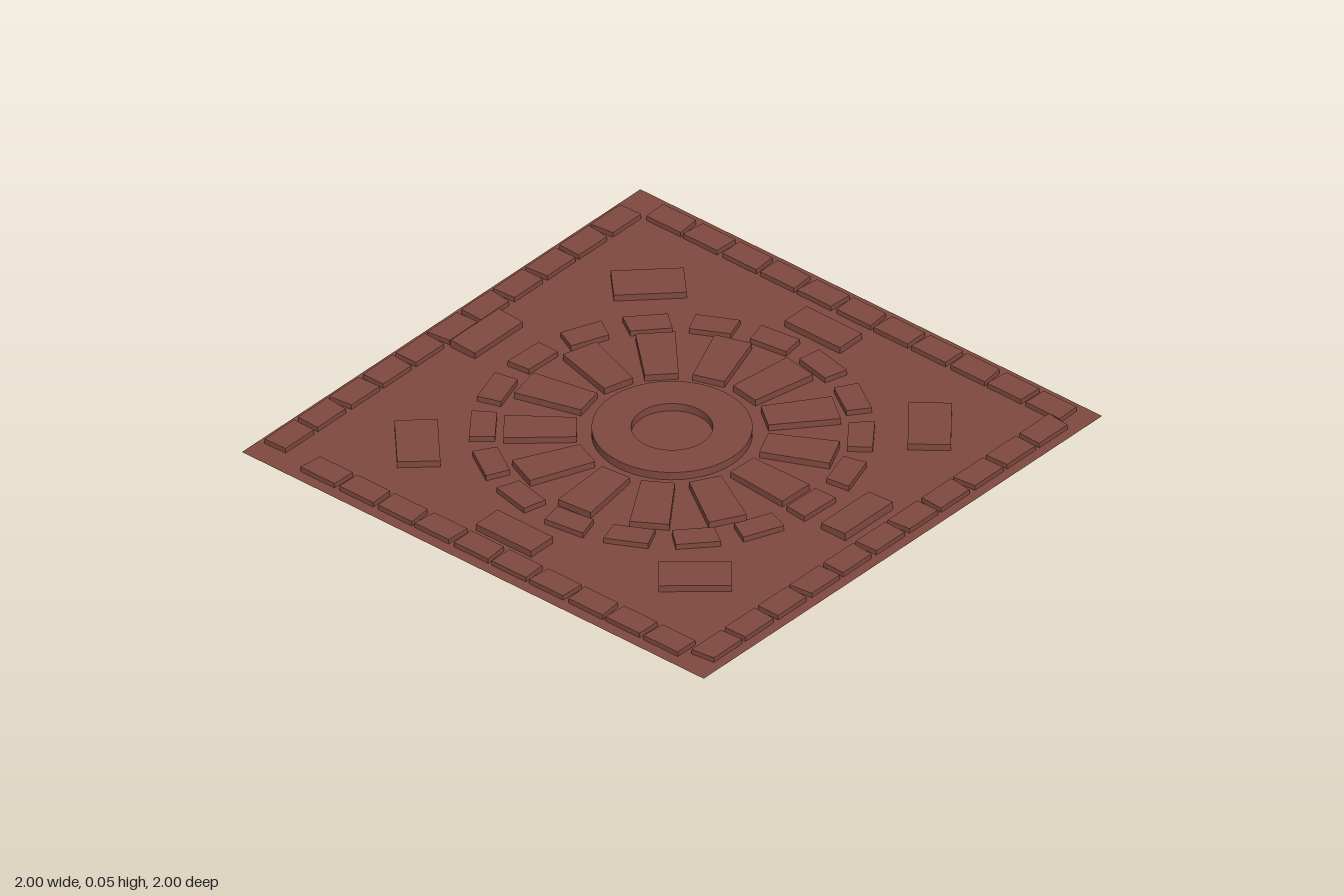
import * as THREE from 'three';

const brick = new THREE.MeshStandardMaterial({ color: 0x7f493f });
brick.name = 'brick red';
const brickSheet = brick.clone();
brickSheet.name = 'brick red sheet';
brickSheet.side = THREE.DoubleSide;

// A flat stone: length along x, width along z, narrowing from +x to -x, with a slight skew
function stone(name, length, innerWidth, outerWidth, bottom, top, skew = 0) {
  const geo = new THREE.BoxGeometry(length, top - bottom, 1);
  const pos = geo.attributes.position;
  for (let i = 0; i < pos.count; i++) {
    const x = pos.getX(i), side = pos.getZ(i);
    pos.setZ(i, side * (x > 0 ? outerWidth : innerWidth) + skew * Math.sign(x));
  }
  geo.computeVertexNormals();
  const mesh = new THREE.Mesh(geo, brick);
  mesh.name = name;
  mesh.position.y = (bottom + top) / 2;
  return mesh;
}

// Stones spaced evenly around the centre
function stoneCircle(name, count, radius, startDeg, make) {
  const group = new THREE.Group();
  group.name = name;
  for (let i = 0; i < count; i++) {
    const a = THREE.MathUtils.degToRad(startDeg) + (i / count) * Math.PI * 2;
    const mesh = make(i);
    mesh.position.x = Math.cos(a) * radius;
    mesh.position.z = Math.sin(a) * radius;
    mesh.rotation.y = -a;
    group.add(mesh);
  }
  return group;
}

// A straight border row; the stones run along z, or along x when turned
function borderRow(name, count, start, step, offset, alongX) {
  const group = new THREE.Group();
  group.name = name;
  for (let i = 0; i < count; i++) {
    const mesh = stone('borderStone', 0.088, 0.148, 0.142, 0.019, 0.041, 0.004 * Math.sin(i * 2.3 + offset));
    const along = start + i * step;
    mesh.position.x = alongX ? along : offset;
    mesh.position.z = alongX ? offset : along;
    if (alongX) mesh.rotation.y = Math.PI / 2;
    group.add(mesh);
  }
  return group;
}

export function createModel() {
  const model = new THREE.Group();
  model.name = 'stonePavement';

  // Thin ground sheet that the stones are set into
  const sheet = new THREE.Mesh(new THREE.PlaneGeometry(2, 2), brickSheet);
  sheet.name = 'groundSheet';
  sheet.rotation.x = -Math.PI / 2;
  sheet.position.y = 0.023;
  model.add(sheet);

  // Central ring with an open middle
  const ringShape = new THREE.Shape().absarc(0, 0, 0.264, 0, Math.PI * 2);
  ringShape.holes.push(new THREE.Path().absarc(0, 0, 0.134, 0, Math.PI * 2, true));
  const ring = new THREE.Mesh(
    new THREE.ExtrudeGeometry(ringShape, { depth: 0.042, bevelEnabled: false, curveSegments: 32 }), brick);
  ring.name = 'centreRing';
  ring.rotation.x = -Math.PI / 2;
  ring.position.y = 0.01;
  model.add(ring);

  // Wedge spokes and the smaller circle outside them
  model.add(stoneCircle('spokes', 13, 0.432, 1.8, (i) =>
    stone('spoke', 0.24, 0.112, 0.132, 0.012, 0.047, 0.004 * Math.sin(i * 1.9))));
  model.add(stoneCircle('outerCircle', 18, 0.62, 2, (i) =>
    stone('circleStone', 0.085, 0.14, 0.15, 0.015, 0.043, 0.005 * Math.sin(i * 2.7))));

  // Large blocks: x, z, turn in degrees, width, tilt
  const blocks = [
    [-0.005, -0.765, 0, 0.11, 0], [-0.005, 0.785, 0, 0.11, 0],
    [-0.825, -0.025, 90, 0.105, 0.06], [0.78, -0.025, 90, 0.105, -0.06],
    [-0.61, -0.59, 45, 0.142, 0], [0.623, -0.572, -50, 0.142, 0],
    [0.605, 0.585, 41, 0.142, 0], [-0.585, 0.6, -47, 0.142, 0],
  ];
  for (const [x, z, turn, width, tilt] of blocks) {
    const mesh = stone('largeBlock', 0.24, width, width, tilt ? 0.009 : 0.012, tilt ? 0.049 : 0.047);
    mesh.position.x = x;
    mesh.position.z = z;
    mesh.rotation.y = THREE.MathUtils.degToRad(turn);
    mesh.rotateX(tilt);
    model.add(mesh);
  }

  // Border rows
  model.add(borderRow('backBorder', 11, -0.797, 0.1645, -0.922, true));
  model.add(borderRow('frontBorder', 10, -0.705, 0.165, 0.915, true));
  model.add(borderRow('rightBorder', 11, -0.8, 0.164, -0.932, false));
  model.add(borderRow('leftBorder', 11, -0.8, 0.164, 0.92, false));

  return model;
}
